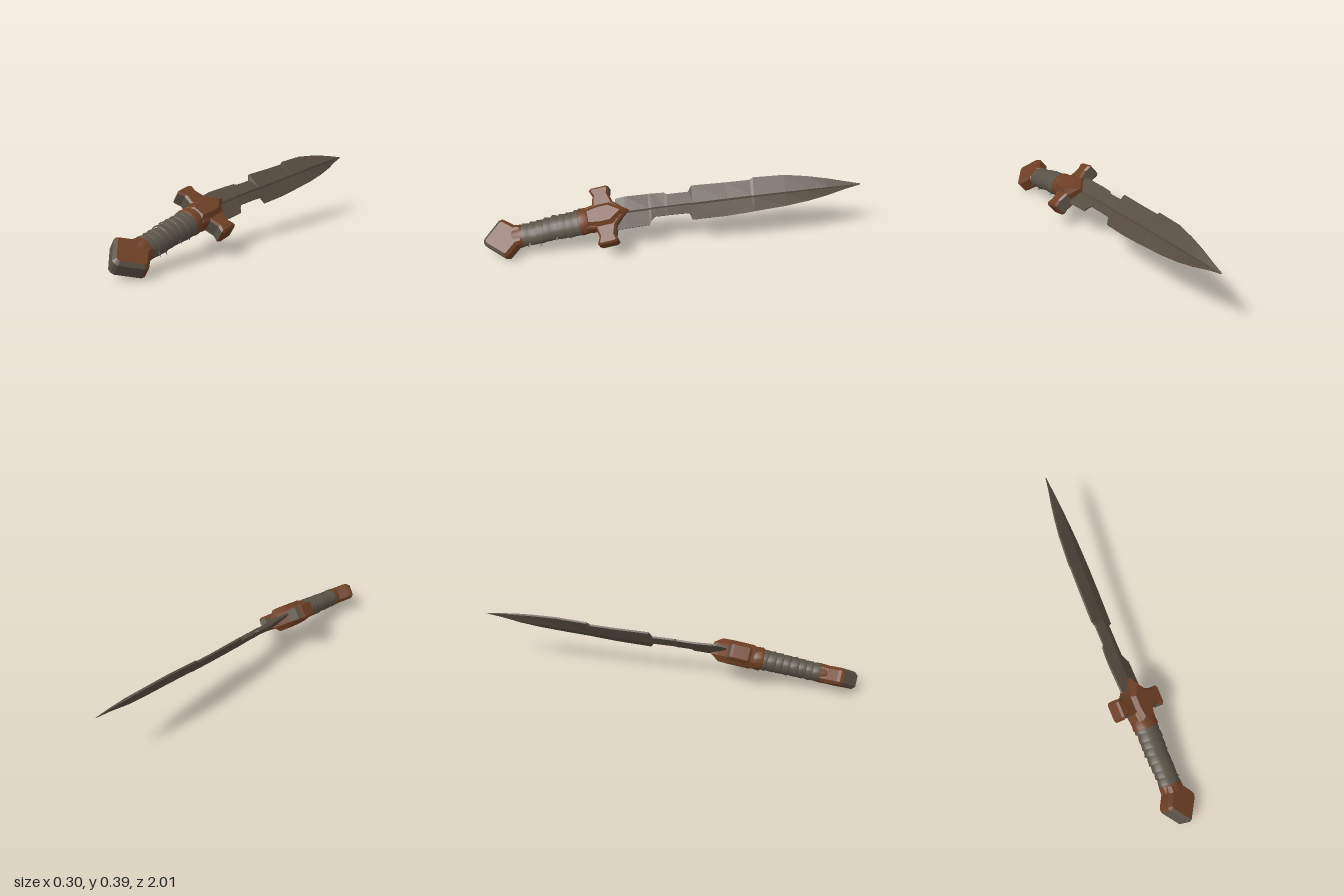
import * as THREE from 'three';

const mat = (name, color) => {
  const m = new THREE.MeshStandardMaterial({ color });
  m.name = name;
  return m;
};

export function createModel() {
  const rust = mat('rustyBrown', 0x6e3f25);
  const steel = mat('wornSteel', 0x5b5245);
  const bladeMat = mat('agedBlade', 0x584d40);
  const wrapMat = mat('gripWrap', 0x5a5347);
  bladeMat.side = THREE.DoubleSide;

  const model = new THREE.Group();
  model.name = 'dagger';

  // Hilt frame: X across the guard, Y toward the tip, Z through the thickness
  const hilt = new THREE.Group();
  hilt.name = 'hilt';
  const along = new THREE.Vector3(0, 0.21, -1).normalize();
  const across = new THREE.Vector3(-0.8, 0.6, 0);
  across.addScaledVector(along, -across.dot(along)).normalize();
  const through = new THREE.Vector3().crossVectors(across, along);
  hilt.quaternion.setFromRotationMatrix(new THREE.Matrix4().makeBasis(across, along, through));
  hilt.position.set(-0.003, 0.2, 0.36);
  model.add(hilt);

  const add = (parent, name, geo, material) => {
    const mesh = new THREE.Mesh(geo, material);
    mesh.name = name;
    parent.add(mesh);
    return mesh;
  };

  // Bevelled plate from half an outline, mirrored across the axis
  const plate = (half, thickness, bevel) => {
    const mirrored = half.filter(p => p[0] > 0).reverse().map(([x, y]) => [-x, y]);
    const shape = new THREE.Shape([...half, ...mirrored].map(p => new THREE.Vector2(...p)));
    const depth = thickness - 2 * bevel;
    const geo = new THREE.ExtrudeGeometry(shape, {
      depth, bevelEnabled: true, bevelThickness: bevel, bevelSize: bevel, bevelOffset: -bevel, bevelSegments: 1,
    });
    return geo.translate(0, 0, -depth / 2);
  };

  // Sort faces into two materials by a test on the face normal
  const splitByNormal = (geo, test) => {
    const n = geo.attributes.normal;
    geo.clearGroups();
    for (let i = 0; i < n.count; i += 3) geo.addGroup(i, 3, test(n.getY(i)) ? 1 : 0);
    return geo;
  };

  // Crossguard with flared arms
  const guardOutline = [[0, -0.1], [0.06, -0.1], [0.068, -0.05], [0.115, -0.04], [0.15, -0.055],
    [0.16, -0.04], [0.16, 0.04], [0.15, 0.055], [0.115, 0.045], [0.065, 0.06], [0, 0.13]];
  add(hilt, 'guard', splitByNormal(plate(guardOutline, 0.085, 0.01), y => Math.abs(y) > 0.75), [rust, steel]);

  // Raised shield in the middle of the guard
  const shield = [[0, -0.11], [0.055, -0.11], [0.07, -0.03], [0.07, 0.045], [0, 0.135]];
  add(hilt, 'guardShield', plate(shield, 0.125, 0.03), rust);

  // Oval turned part
  const oval = (profile, flatness, segments = 20) =>
    new THREE.LatheGeometry(profile.map(p => new THREE.Vector2(...p)), segments).scale(1, 1, flatness);

  add(hilt, 'guardCollar', oval([[0.06, -0.14], [0.074, -0.13], [0.07, -0.09], [0.05, -0.06]], 0.85), rust);
  add(hilt, 'gripCore', oval([[0.055, -0.46], [0.06, -0.1]], 0.8), wrapMat);

  // Overlapping tilted wraps along the grip
  const bands = 8;
  for (let i = 0; i < bands; i++) {
    const t = i / (bands - 1);
    const r = 0.061 + 0.008 * t;
    const wrap = add(hilt, 'gripWrap',
      oval([[r - 0.006, -0.027], [r + 0.002, -0.022], [r, 0.005], [r - 0.005, 0.028]], 0.8), wrapMat);
    wrap.position.set(0.002 * Math.sin(i * 5), -0.425 + 0.285 * t, 0);
    wrap.rotation.set(0.08 * Math.cos(i * 2.3), 0, 0.13 + 0.07 * Math.sin(i * 1.9));
  }

  // Frayed ends of the wrap
  [-0.42, -0.36, -0.27, -0.19].forEach((y, i) => {
    const scrap = add(hilt, 'frayedEnd', new THREE.ConeGeometry(0.008, 0.03, 4), wrapMat);
    scrap.position.set(-0.068, y, 0.012 * (i % 2 ? 1 : -1));
    scrap.rotation.z = 2.1;
  });

  // Pommel: a neck that flares out, then closes to a blunt point
  const pommel = [[0, -0.655], [0.018, -0.65], [0.1, -0.56], [0.105, -0.54], [0.095, -0.525],
    [0.057, -0.48], [0.052, -0.44], [0, -0.44]].reverse();
  // keep the outline counter-clockwise from the point upward
  add(hilt, 'pommel', splitByNormal(plate(pommel.reverse(), 0.092, 0.016), y => y < -0.45), [rust, steel]);
  add(hilt, 'pommelCollar', oval([[0.042, -0.53], [0.058, -0.49], [0.06, -0.45], [0.056, -0.43]], 0.86), rust);

  // Blade stations: z, upper edge x y, lower edge x y; the blade twists and is notched
  const stations = [
    [0.3, -0.058, 0.272, 0.055, 0.15],
    [0.25, -0.06, 0.283, 0.055, 0.155],
    [0.125, -0.062, 0.29, 0.055, 0.17],
    [0.112, -0.061, 0.292, 0.042, 0.19],
    [0.09, -0.06, 0.293, 0.03, 0.205],
    [0.04, -0.056, 0.297, 0.03, 0.208],
    [0.025, -0.046, 0.293, 0.03, 0.21],
    [-0.09, -0.045, 0.302, 0.032, 0.217],
    [-0.108, -0.057, 0.333, 0.05, 0.185],
    [-0.29, -0.051, 0.345, 0.057, 0.203],
    [-0.42, -0.046, 0.356, 0.06, 0.222],
    [-0.435, -0.049, 0.369, 0.06, 0.225],
    [-0.6, -0.036, 0.383, 0.06, 0.248],
    [-0.72, -0.018, 0.379, 0.056, 0.27],
    [-0.82, 0.0, 0.371, 0.05, 0.294],
    [-0.92, 0.02, 0.359, 0.043, 0.325],
    [-1, 0.033, 0.348, 0.037, 0.344],
  ];
  const pos = [];
  const index = [];
  stations.forEach(([z, tx, ty, bx, by], i) => {
    const top = new THREE.Vector2(tx, ty);
    const low = new THREE.Vector2(bx, by);
    const dir = top.clone().sub(low);
    const width = dir.length();
    dir.normalize();
    const side = new THREE.Vector2(dir.y, -dir.x);
    // central ridge stays straight past the notches
    const wanted = new THREE.Vector2(0.033 * ((0.3 - z) / 1.3) ** 2, 0.252 - 0.094 * z);
    const k = THREE.MathUtils.clamp(wanted.sub(low).dot(dir) / width, 0.3, 0.7);
    const ridge = low.clone().addScaledVector(dir, k * width);
    const under = low.clone().addScaledVector(dir, (k - 0.06) * width);
    const taper = Math.min(1, width / 0.1);
    const half = [[top, 0.005], [ridge, 0.019], [under, 0.014], [low, 0.004]];
    const loop = [...half, ...half.slice().reverse().map(([p, h]) => [p, -h])];
    loop.forEach(([p, h]) => pos.push(p.x + side.x * h * taper, p.y + side.y * h * taper, z));
    if (i === 0) return;
    for (let j = 0; j < 8; j++) {
      const a = (i - 1) * 8 + j, b = (i - 1) * 8 + (j + 1) % 8;
      index.push(a, b, b + 8, a, b + 8, a + 8);
    }
  });
  let blade = new THREE.BufferGeometry();
  blade.setAttribute('position', new THREE.Float32BufferAttribute(pos, 3));
  blade.setIndex(index);
  blade = blade.toNonIndexed();
  blade.computeVertexNormals();
  add(model, 'blade', blade, bladeMat);

  return model;
}
